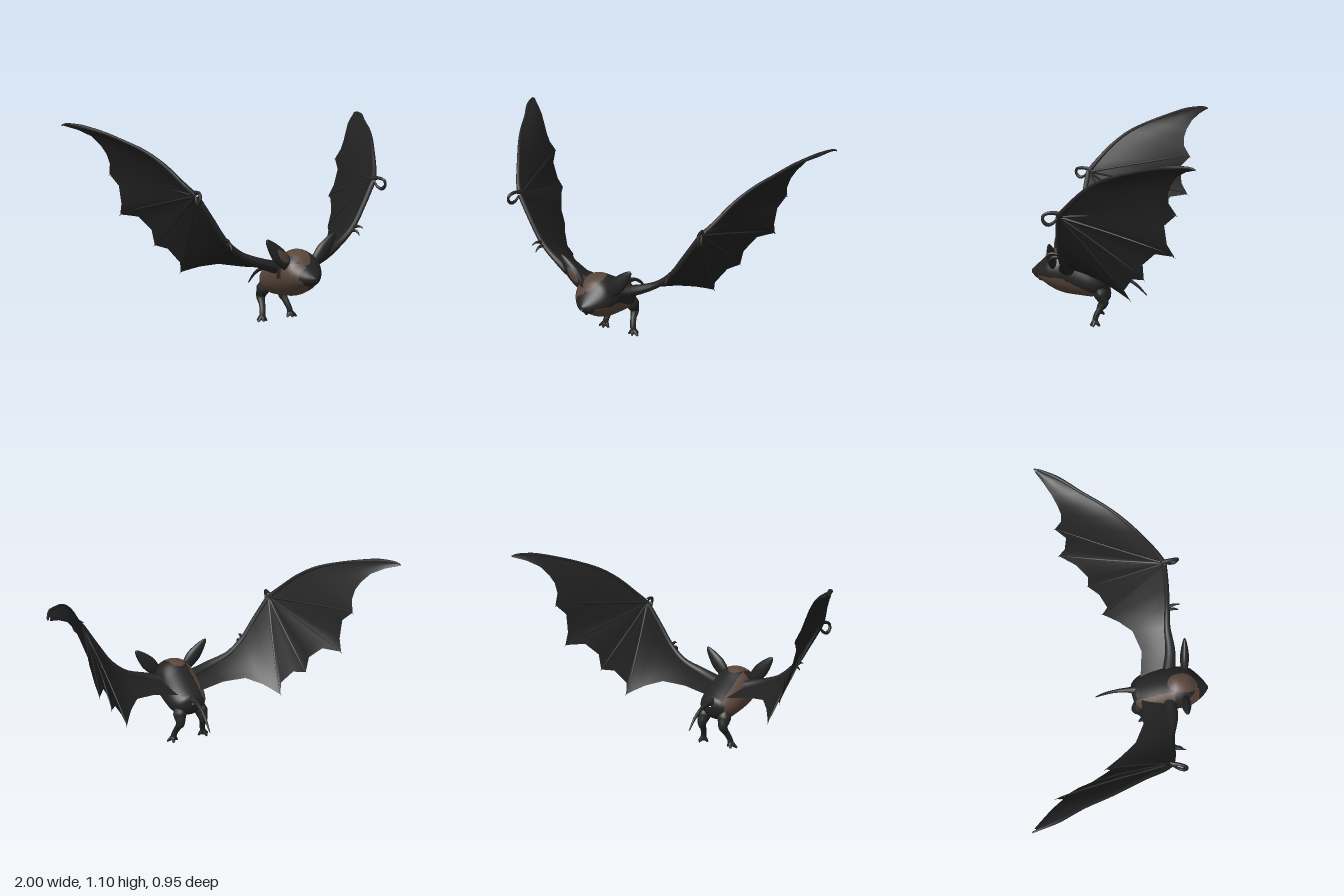
import * as THREE from 'three';

const V = (p) => new THREE.Vector3(...p);

export function createModel() {
  const bat = new THREE.Group();
  bat.name = 'bat';
  const dark = new THREE.MeshStandardMaterial({ color: 0x242424 });
  dark.name = 'darkFur';
  const brown = new THREE.MeshStandardMaterial({ color: 0x58453a });
  brown.name = 'brownFur';
  const skin = new THREE.MeshStandardMaterial({ color: 0x212121, side: THREE.DoubleSide });
  skin.name = 'wingSkin';

  const add = (parent, name, geo, mat) => {
    const mesh = new THREE.Mesh(geo, mat);
    mesh.name = name;
    parent.add(mesh);
    return mesh;
  };

  // Tube along a smooth path whose radius follows a list of values
  const limb = (parent, name, pts, radii, sides = 10) => {
    const seg = (pts.length - 1) * 6;
    const curve = new THREE.CatmullRomCurve3(pts.map(V), false, 'centripetal');
    const geo = new THREE.TubeGeometry(curve, seg, 1, sides);
    const pos = geo.attributes.position, v = new THREE.Vector3();
    for (let i = 0; i <= seg; i++) {
      const c = curve.getPointAt(i / seg), f = (i / seg) * (radii.length - 1);
      const k = Math.min(Math.floor(f), radii.length - 2);
      const r = THREE.MathUtils.lerp(radii[k], radii[k + 1], f - k);
      for (let j = 0; j <= sides; j++) {
        const n = i * (sides + 1) + j;
        v.fromBufferAttribute(pos, n).sub(c).multiplyScalar(r).add(c);
        pos.setXYZ(n, v.x, v.y, v.z);
      }
    }
    geo.computeVertexNormals();
    return add(parent, name, geo, dark);
  };

  // Indexed grid surface; wrap joins the last column to the first
  const grid = (rows, cols, point, wrap) => {
    const pos = [], idx = [];
    for (let i = 0; i < rows; i++) for (let j = 0; j < cols; j++) pos.push(...point(i, j));
    for (let i = 0; i < rows - 1; i++) {
      for (let j = 0; j < (wrap ? cols : cols - 1); j++) {
        const k = (j + 1) % cols, a = i * cols + j, b = i * cols + k;
        idx.push(a, b, a + cols, b, b + cols, a + cols);
      }
    }
    const geo = new THREE.BufferGeometry();
    geo.setAttribute('position', new THREE.Float32BufferAttribute(pos, 3));
    geo.setIndex(idx);
    geo.computeVertexNormals();
    return geo;
  };

  // Head and body: ellipse sections given as z, top, bottom, half width
  const sections = [
    [0.478, 0.3, 0.28, 0.008], [0.452, 0.325, 0.256, 0.045], [0.41, 0.365, 0.235, 0.085],
    [0.37, 0.408, 0.207, 0.11], [0.32, 0.428, 0.182, 0.12], [0.27, 0.425, 0.168, 0.12],
    [0.2, 0.385, 0.16, 0.12], [0.13, 0.345, 0.155, 0.115], [0.08, 0.315, 0.17, 0.095],
    [0.05, 0.295, 0.2, 0.062], [0.035, 0.262, 0.25, 0.008],
  ];
  const heights = new THREE.CatmullRomCurve3(sections.map((s) => V([s[0], s[1], s[2]])), false, 'catmullrom');
  const widths = new THREE.CatmullRomCurve3(sections.map((s) => V([s[0], s[3], 0])), false, 'catmullrom');
  const ROWS = 100, COLS = 80;
  const body = grid(ROWS, COLS, (i, j) => {
    const t = i / (ROWS - 1), a = (j / COLS) * Math.PI * 2;
    const h = heights.getPoint(t), w = widths.getPoint(t).y;
    return [w * Math.sin(a), (h.y + h.z) / 2 + ((h.y - h.z) / 2) * Math.cos(a), h.x];
  }, true);

  // Brown fur: belly, right flank, right cheek and a patch on the crown
  const isBrown = (x, y, z) => {
    const belly = z > 0.1 && z < 0.435 && y < Math.min(0.285, 0.2 + 0.5 * (z - 0.13));
    const flank = x < -0.065 && z > 0.06 && z < 0.285;
    const cheek = x < -0.025 && y > 0.26 && y < 0.37 && z > 0.32 && z < 0.425;
    const crown = y > 0.3 && ((x + 0.012) / 0.055) ** 2 + ((z - 0.325) / 0.088) ** 2 < 1;
    return belly || flank || cheek || crown;
  };
  const faces = [[], []], p = body.attributes.position, ix = body.index.array;
  for (let f = 0; f < ix.length; f += 3) {
    const t = [ix[f], ix[f + 1], ix[f + 2]];
    const mean = (get) => t.reduce((s, n) => s + get(n), 0) / 3;
    const b = isBrown(mean((n) => p.getX(n)), mean((n) => p.getY(n)), mean((n) => p.getZ(n)));
    faces[b ? 1 : 0].push(...t);
  }
  body.setIndex([...faces[0], ...faces[1]]);
  body.addGroup(0, faces[0].length, 0);
  body.addGroup(faces[0].length, faces[1].length, 1);
  add(bat, 'body', body, [dark, brown]);

  // Snout tip, chin and tail
  const nose = add(bat, 'nose', new THREE.SphereGeometry(0.018, 16, 12), dark);
  nose.position.set(0, 0.293, 0.462);
  nose.scale.set(1.3, 0.9, 0.9);
  limb(bat, 'chin', [[0, 0.265, 0.41], [0, 0.248, 0.43], [0, 0.234, 0.42]], [0.022, 0.018, 0.002]);
  limb(bat, 'tail', [[0, 0.275, 0.09], [0, 0.277, 0.03], [0, 0.263, -0.05], [0, 0.225, -0.115], [0, 0.165, -0.175]],
    [0.034, 0.016, 0.01, 0.008, 0.003]);

  // Wing outline: leading and trailing points paired column by column
  const wrist = [0.58, 0.75, 0.23];
  const tips = [[0.475, 0.285, -0.125], [0.59, 0.435, -0.205], [0.715, 0.595, -0.365], [0.77, 0.82, -0.375]];
  const columns = [
    [[0.07, 0.325, 0.27], [0.07, 0.3, 0.09]], [[0.2, 0.365, 0.265], [0.22, 0.325, 0.1]],
    [[0.33, 0.425, 0.25], [0.34, 0.345, 0.05]], [[0.42, 0.505, 0.25], [0.41, 0.325, -0.03]],
    [[0.5, 0.625, 0.245], [0.445, 0.305, -0.08]], [wrist, tips[0]],
    [wrist, [0.495, 0.345, -0.095]], [wrist, [0.545, 0.42, -0.14]], [wrist, tips[1]],
    [wrist, [0.61, 0.52, -0.2]], [wrist, [0.655, 0.59, -0.265]], [wrist, tips[2]],
    [wrist, [0.725, 0.66, -0.328]], [[0.6, 0.778, 0.21], [0.745, 0.76, -0.315]],
    [[0.62, 0.8, 0.19], tips[3]], [[0.69, 0.905, 0.09], [0.785, 0.88, -0.338]],
    [[0.75, 0.97, 0], [0.805, 0.935, -0.335]], [[0.81, 1.015, -0.1], [0.83, 0.98, -0.35]],
    [[0.87, 1.055, -0.22], [0.87, 1.03, -0.38]], [[0.94, 1.085, -0.34], [0.93, 1.065, -0.425]],
    [[0.99, 1.095, -0.45], [0.988, 1.085, -0.47]],
  ];

  for (const side of [1, -1]) {
    const half = new THREE.Group();
    half.name = side > 0 ? 'leftSide' : 'rightSide';
    half.scale.x = side;
    bat.add(half);

    // Wing skin with a slight camber between the edges
    const N = 9;
    add(half, 'wingMembrane', grid(columns.length, N, (i, j) => {
      const t = j / (N - 1), [lead, trail] = columns[i];
      const q = V(lead).lerp(V(trail), t), bulge = 0.012 * Math.sin(Math.PI * t);
      return [q.x - bulge * 0.6, q.y + bulge * 0.5, q.z];
    }), skin);

    // Arm, long finger with hooked tip, and the fingers crossing the skin
    limb(half, 'arm', [[0.06, 0.32, 0.25], ...columns.slice(1, 5).map((c) => c[0]), wrist],
      [0.04, 0.03, 0.019, 0.015, 0.014, 0.015]);
    limb(half, 'leadingFinger', [wrist, ...columns.slice(14).map((c) => c[0]), [0.998, 1.087, -0.472]],
      [0.015, 0.012, 0.01, 0.009, 0.008, 0.009, 0.011, 0.004]);
    for (const tip of tips) {
      const mid = V(wrist).lerp(V(tip), 0.5).add(V([-0.007, 0.006, 0])).toArray();
      const end = [tip[0] + 0.003, tip[1] - 0.008, tip[2] - 0.006];
      limb(half, 'finger', [wrist, mid, tip, end], [0.009, 0.006, 0.006, 0.001], 6);
    }

    // Curled thumb claw at the wrist and small claws at the elbow
    limb(half, 'thumbClaw', [[0.58, 0.765, 0.22], [0.59, 0.772, 0.27], [0.6, 0.76, 0.305],
      [0.605, 0.733, 0.306], [0.6, 0.712, 0.283], [0.592, 0.722, 0.255], [0.585, 0.745, 0.235]],
      [0.014, 0.01, 0.009, 0.008, 0.01, 0.008, 0.006], 8);
    limb(half, 'elbowClaw', [[0.42, 0.505, 0.25], [0.43, 0.515, 0.295], [0.435, 0.507, 0.325]], [0.012, 0.008, 0.002], 8);
    limb(half, 'elbowClaw', [[0.41, 0.49, 0.25], [0.415, 0.487, 0.295], [0.42, 0.465, 0.315]], [0.012, 0.008, 0.002], 8);

    // Pointed, flattened ear cupped toward the front
    const ear = new THREE.Group();
    ear.name = 'ear';
    ear.position.set(0.148, 0.418, 0.343);
    ear.rotation.z = -0.72;
    half.add(ear);
    const leaf = (w, h, d) => {
      const geo = new THREE.SphereGeometry(1, 24, 20), e = geo.attributes.position;
      for (let i = 0; i < e.count; i++) {
        const y = e.getY(i), s = 1 - 0.35 * Math.max(y, 0);
        e.setXYZ(i, e.getX(i) * w * s, y * h, e.getZ(i) * d * s);
      }
      geo.computeVertexNormals();
      return geo;
    };
    add(ear, 'earShell', leaf(0.042, 0.117, 0.026), dark);
    if (side < 0) add(ear, 'innerEar', leaf(0.022, 0.05, 0.005), brown).position.set(-0.008, -0.012, 0.024);

    // Leg with backward knee, and a foot with spread toes
    limb(half, 'leg', [[0.06, 0.225, 0.1], [0.068, 0.175, 0.075], [0.072, 0.135, 0.06], [0.08, 0.095, 0.085], [0.09, 0.055, 0.105], [0.097, 0.018, 0.108]],
      [0.03, 0.04, 0.027, 0.018, 0.016, 0.017]);
    for (const [x, z] of [[0.068, 0.115], [0.098, 0.133], [0.13, 0.118], [0.108, 0.08]]) {
      limb(half, 'toe', [[0.094, 0.035, 0.107], [(0.094 + x) / 2, 0.022, (0.107 + z) / 2], [x, 0.007, z]], [0.016, 0.011, 0.005], 8);
    }
  }
  return bat;
}
